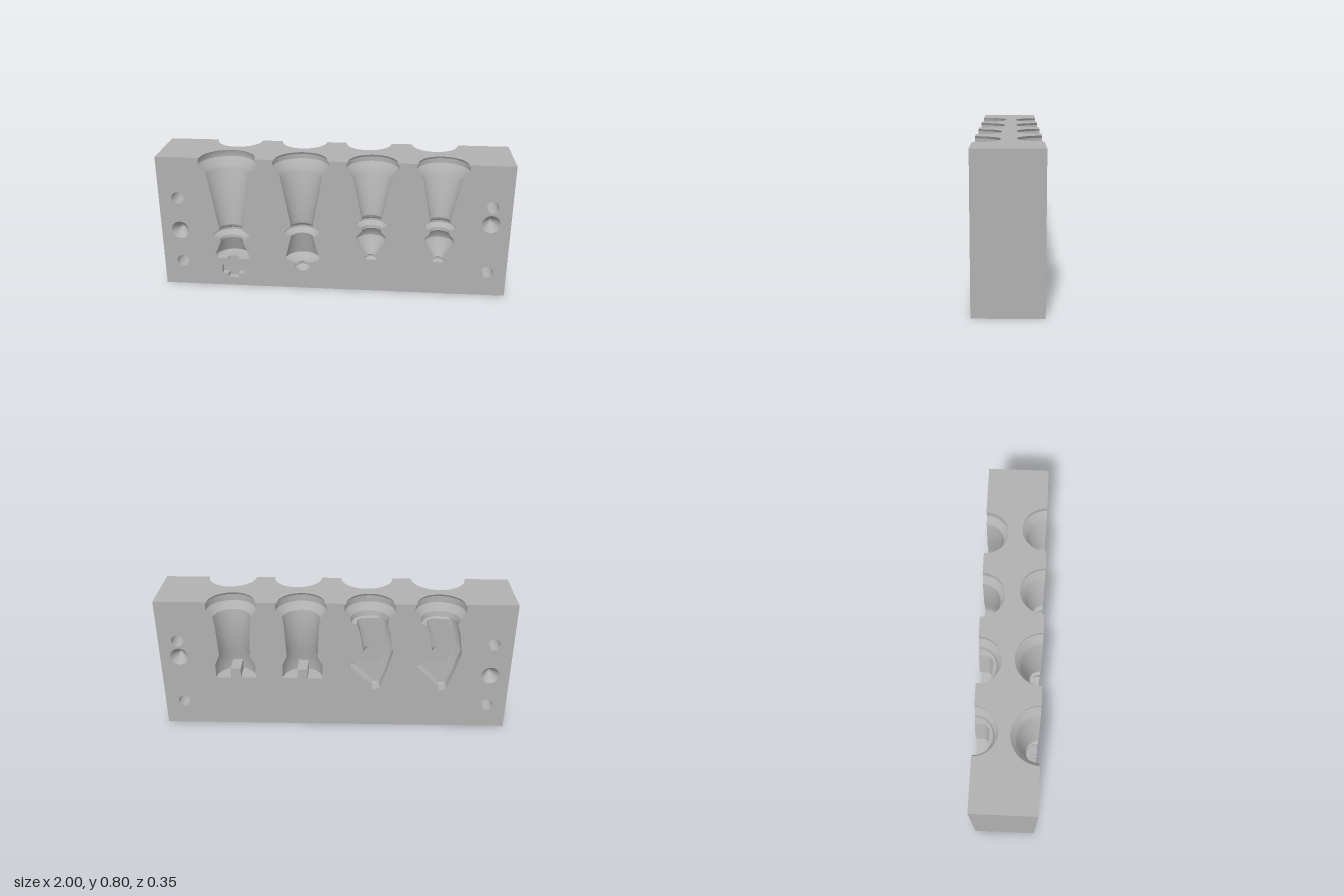
import * as THREE from 'three';
import { toCreasedNormals } from 'three/addons/utils/BufferGeometryUtils.js';

const H = 0.795, D = 0.175, SEG = 36;

// Cross-section of a half cavity: height, left and right edge, depth, squareness (1 = half round)
const section = (y, l, r, d, s = 1) => ({ y, l, r, d, s });
const turned = (points) => points.map(([y, r]) => section(y, -r, r, r));

const king = [
  ...turned([[H, 0.157], [0.783, 0.163], [0.757, 0.163], [0.735, 0.147], [0.712, 0.13], [0.7, 0.123], [0.367, 0.068],
    [0.352, 0.074], [0.334, 0.104], [0.322, 0.104], [0.3, 0.068], [0.285, 0.066], [0.19, 0.104], [0.177, 0.095]]),
  // cross finial
  section(0.175, -0.03, 0.03, 0.04, 20), section(0.165, -0.03, 0.03, 0.04, 20),
  section(0.125, -0.066, 0.066, 0.04, 20), section(0.077, -0.066, 0.066, 0.04, 20),
  section(0.077, -0.03, 0.03, 0.04, 20), section(0.05, -0.03, 0.03, 0.04, 20), section(0.05, 0, 0, 0),
];
const queen = turned([[H, 0.15], [0.783, 0.157], [0.757, 0.157], [0.73, 0.138], [0.705, 0.122], [0.69, 0.117],
  [0.41, 0.064], [0.39, 0.068], [0.366, 0.098], [0.354, 0.098], [0.33, 0.064], [0.19, 0.1], [0.175, 0.07],
  [0.167, 0.024], [0.16, 0.024], [0.149, 0.043], [0.137, 0.043], [0.118, 0.022], [0.112, 0]]);
const bishop = turned([[H, 0.138], [0.783, 0.145], [0.757, 0.145], [0.73, 0.125], [0.7, 0.106], [0.46, 0.057],
  [0.445, 0.064], [0.43, 0.086], [0.418, 0.086], [0.398, 0.058], [0.38, 0.055], [0.35, 0.08], [0.325, 0.086],
  [0.3, 0.076], [0.228, 0.022], [0.22, 0.034], [0.208, 0.034], [0.201, 0.025], [0.2, 0]]);
const rook = turned([[H, 0.132], [0.783, 0.14], [0.745, 0.14], [0.725, 0.125], [0.705, 0.105], [0.66, 0.098],
  [0.46, 0.088], [0.4, 0.115], [0.315, 0.115], [0.315, 0]]);
const knight = [
  ...turned([[H, 0.132], [0.783, 0.14], [0.745, 0.14], [0.725, 0.125], [0.705, 0.108], [0.675, 0.102]]),
  section(0.67, -0.1, 0.07, 0.08, 1.2), section(0.62, -0.115, 0.055, 0.08, 1.2),
  section(0.49, -0.135, 0.03, 0.08, 1.2), section(0.41, -0.112, 0.113, 0.08, 1.2),
  section(0.375, -0.104, 0.113, 0.08, 1.2), section(0.26, -0.065, -0.01, 0.07, 1.2),
  section(0.245, -0.04, -0.025, 0.06, 1.2), section(0.245, -0.03, -0.03, 0),
];

const front = [['kingCavity', -0.591, king], ['queenCavity', -0.177, queen],
  ['bishopCavity', 0.222, bishop], ['bishopCavity', 0.607, bishop]];
const back = [['knightCavity', -0.58, knight], ['knightCavity', -0.193, knight],
  ['rookCavity', 0.187, rook], ['rookCavity', 0.573, rook]];

const boltHoles = [[-0.89, 0.55], [-0.89, 0.15], [0.89, 0.55], [0.89, 0.15]];
const dimples = [[-0.89, 0.35], [0.89, 0.45]];
const BOLT_R = 0.035, DIMPLE_R = 0.052;

// Point on a section, running from its right edge (j = 0) to its left edge
function sectionPoint(q, j) {
  const t = Math.PI * j / SEG;
  const u = THREE.MathUtils.clamp(q.s * Math.cos(t), -1, 1);
  const w = j === 0 || j === SEG ? 0 : Math.min(1, q.s * Math.sin(t));
  return [(q.l + q.r) / 2 + u * (q.r - q.l) / 2, w * q.d];
}

// Skin a half cavity through its sections; dir is +1 for the front, -1 for the back
function cavityGeometry(cx, sections, dir) {
  const pos = [], index = [], row = SEG + 1;
  sections.forEach((q, i) => {
    for (let j = 0; j <= SEG; j++) {
      const [x, depth] = sectionPoint(q, j);
      pos.push(cx + x, q.y, dir * (D - depth));
      if (i === 0 || j === 0) continue;
      const a = (i - 1) * row + j - 1, b = a + 1, c = a + row, d = c + 1;
      if (dir > 0) index.push(a, b, c, b, d, c);
      else index.push(a, c, b, b, c, d);
    }
  });
  const g = new THREE.BufferGeometry();
  g.setAttribute('position', new THREE.Float32BufferAttribute(pos, 3));
  g.setIndex(index);
  return toCreasedNormals(g, 0.5);
}

// Large face with the cavity silhouettes cut from its top edge and round holes through it
function faceGeometry(cavities, dir) {
  const pts = [[-1, 0], [-1, H]];
  for (const [, cx, sections] of cavities) {
    sections.forEach(q => pts.push([cx + q.l, q.y]));
    [...sections].reverse().forEach(q => pts.push([cx + q.r, q.y]));
  }
  pts.push([1, H], [1, 0]);
  const clean = pts.filter((p, i) => i === 0 || Math.hypot(p[0] - pts[i - 1][0], p[1] - pts[i - 1][1]) > 1e-5);
  const shape = new THREE.Shape(clean.map(([x, y]) => new THREE.Vector2(dir * x, y)));
  const cut = (list, r) => list.forEach(([x, y]) =>
    shape.holes.push(new THREE.Path().absarc(dir * x, y, r, 0, Math.PI * 2, true)));
  cut(boltHoles, BOLT_R);
  cut(dimples, DIMPLE_R);
  const g = new THREE.ShapeGeometry(shape, 16).translate(0, 0, D);
  return dir > 0 ? g : g.rotateY(Math.PI);
}

// Top face with the half-round mouths cut from both long edges
function topGeometry() {
  const edge = (cavities, side) => {
    const pts = [[-1, side * D]];
    for (const [, cx, sections] of cavities) {
      for (let j = SEG; j >= 0; j--) {
        const [x, depth] = sectionPoint(sections[0], j);
        pts.push([cx + x, side * (D - depth)]);
      }
    }
    pts.push([1, side * D]);
    return pts;
  };
  const pts = [...edge(front, -1), ...edge(back, 1).reverse()];
  const shape = new THREE.Shape(pts.map(([x, y]) => new THREE.Vector2(x, y)));
  return new THREE.ShapeGeometry(shape).rotateX(-Math.PI / 2).translate(0, H, 0);
}

export function createModel() {
  const group = new THREE.Group();
  const grey = new THREE.MeshStandardMaterial({ color: 0xb0b0b0 });
  grey.name = 'mould grey';
  const inner = new THREE.MeshStandardMaterial({ color: 0xb0b0b0, side: THREE.BackSide });
  inner.name = 'mould grey inside';
  const add = (name, geometry, material = grey) => {
    const mesh = new THREE.Mesh(geometry, material);
    mesh.name = name;
    group.add(mesh);
    return mesh;
  };

  // Block faces
  add('frontFace', faceGeometry(front, 1));
  add('backFace', faceGeometry(back, -1));
  add('topFace', topGeometry());
  add('bottomFace', new THREE.PlaneGeometry(2, 2 * D).rotateX(Math.PI / 2));
  for (const s of [-1, 1]) {
    add('endFace', new THREE.PlaneGeometry(2 * D, H).rotateY(s * Math.PI / 2).translate(s, H / 2, 0));
  }

  // Half cavities for the pieces
  front.forEach(([name, cx, sections]) => add(name, cavityGeometry(cx, sections, 1)));
  back.forEach(([name, cx, sections]) => add(name, cavityGeometry(cx, sections, -1)));

  // Bars that form the battlement slots
  for (const [name, cx] of back) {
    if (name === 'rookCavity') {
      add('battlementBar', new THREE.BoxGeometry(0.058, 0.06, 0.112).translate(cx, 0.344, -D + 0.056));
    }
  }

  // Bolt holes through the block
  for (const [x, y] of boltHoles) {
    add('boltHole', new THREE.CylinderGeometry(BOLT_R, BOLT_R, 2 * D, 32, 1, true)
      .rotateX(Math.PI / 2).translate(x, y, 0), inner);
  }

  // Conical alignment dimples on both faces
  for (const [x, y] of dimples) {
    for (const s of [-1, 1]) {
      add('alignmentDimple', new THREE.CylinderGeometry(DIMPLE_R, 0.008, 0.06, 32, 1)
        .rotateX(s * Math.PI / 2).translate(x, y, s * (D - 0.03)), inner);
    }
  }
  return group;
}
